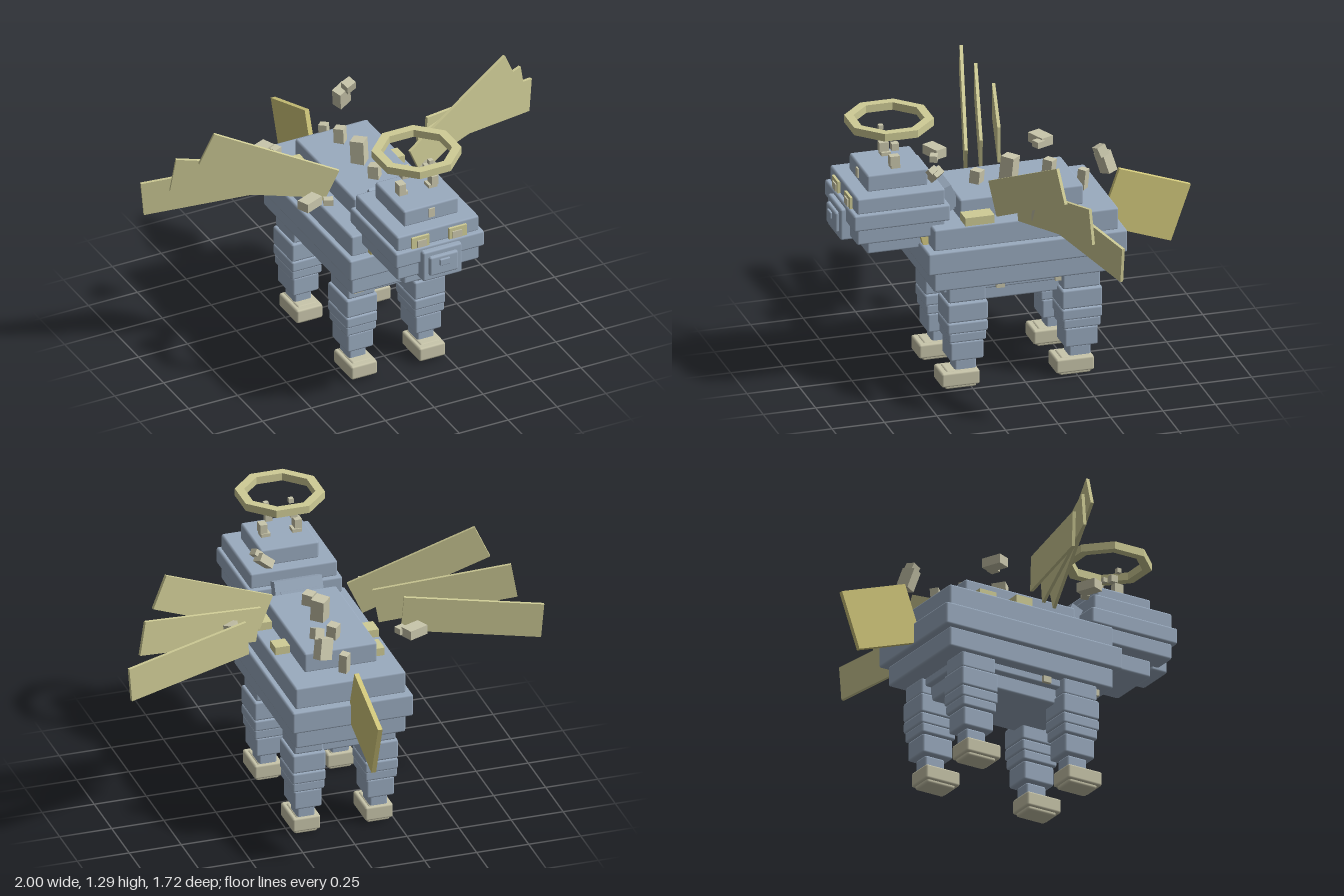
import * as THREE from 'three';
import { RoundedBoxGeometry } from 'three/addons/geometries/RoundedBoxGeometry.js';

export function createModel() {
  const model = new THREE.Group();
  const mat = (name, color) => {
    const m = new THREE.MeshStandardMaterial({ color });
    m.name = name;
    return m;
  };
  const blue = mat('slate blue', 0x9aabbf);
  const straw = mat('pale straw', 0xcfcc96);
  const stone = mat('warm stone', 0xc9c6ab);
  const gold = mat('gold', 0xd3c97c);
  const trim = mat('yellow trim', 0xd8cd84);

  const add = (name, geometry, material, pos, rot = [0, 0, 0], order = 'XYZ') => {
    const mesh = new THREE.Mesh(geometry, material);
    mesh.name = name;
    mesh.position.set(...pos);
    mesh.rotation.set(...rot, order);
    model.add(mesh);
    return mesh;
  };
  const box = (name, material, size, pos, rot, order) =>
    add(name, new THREE.BoxGeometry(...size), material, pos, rot, order);
  // Bevelled slab given by half width, y range and z range
  const slab = (name, material, hw, y0, y1, z0, z1, x = 0) => {
    const size = [hw * 2, y1 - y0, z1 - z0];
    const bevel = Math.min(0.01, Math.min(...size) * 0.2);
    add(name, new RoundedBoxGeometry(...size, 1, bevel), material, [x, (y0 + y1) / 2, (z0 + z1) / 2]);
  };
  // Flat-sided octagonal ring lying in the XY plane
  const octagonRing = (outer, inner, depth) => {
    const points = (r) => Array.from({ length: 8 }, (_, i) => {
      const a = (i + 0.5) * Math.PI / 4, c = r / Math.cos(Math.PI / 8);
      return new THREE.Vector2(c * Math.cos(a), c * Math.sin(a));
    });
    const shape = new THREE.Shape(points(outer));
    shape.holes.push(new THREE.Path(points(inner)));
    return new THREE.ExtrudeGeometry(shape, { depth, bevelEnabled: false }).translate(0, 0, -depth / 2);
  };

  // Stepped body
  slab('belly', blue, 0.175, 0.4, 0.51, -0.31, 0.3);
  slab('bellyRim', blue, 0.21, 0.47, 0.51, -0.34, 0.38);
  slab('lowerBody', blue, 0.265, 0.505, 0.605, -0.44, 0.44);
  slab('middleBody', blue, 0.29, 0.6, 0.71, -0.475, 0.475);
  slab('upperBody', blue, 0.265, 0.705, 0.815, -0.44, 0.44);
  slab('backPlate', blue, 0.175, 0.81, 0.91, -0.3, 0.29);

  // Legs and feet
  for (const x of [-0.174, 0.174]) {
    for (const z of [0.275, -0.27]) {
      const tiers = [
        [0.07, 0.09, 0.43, 0.51], [0.08, 0.097, 0.335, 0.43], [0.08, 0.097, 0.28, 0.335],
        [0.077, 0.09, 0.235, 0.285], [0.067, 0.08, 0.14, 0.235], [0.043, 0.052, 0.07, 0.14],
      ];
      for (const [hw, hd, y0, y1] of tiers) slab('legTier', blue, hw, y0, y1, z - hd, z + hd, x);
      slab('foot', stone, 0.067, 0.015, 0.085, z - 0.062, z + 0.12, x);
      slab('footSole', stone, 0.055, 0, 0.075, z - 0.05, z + 0.1, x);
      slab('hoofFront', stone, 0.05, 0.015, 0.09, z - 0.055, z + 0.095, x);
    }
  }

  // Stepped head and snout
  slab('jaw', blue, 0.14, 0.68, 0.765, 0.42, 0.72);
  slab('lowerHead', blue, 0.21, 0.76, 0.84, 0.37, 0.79);
  slab('middleHead', blue, 0.227, 0.835, 0.915, 0.35, 0.81);
  slab('upperHead', blue, 0.21, 0.91, 0.99, 0.37, 0.79);
  slab('crown', blue, 0.14, 0.985, 1.07, 0.43, 0.72);
  slab('snout', blue, 0.1, 0.745, 0.9, 0.75, 0.835);
  slab('muzzle', blue, 0.073, 0.775, 0.875, 0.8, 0.852);
  slab('nose', blue, 0.026, 0.825, 0.858, 0.84, 0.862);
  box('foreheadMark', stone, [0.03, 0.045, 0.014], [0, 1.03, 0.72]);

  // Stepped neck at the back of the head
  box('neckStep', blue, [0.23, 0.11, 0.06], [0, 0.9, 0.32], [0.4, 0, 0]);
  box('neckStep', blue, [0.18, 0.08, 0.06], [0, 0.87, 0.3], [0.4, 0, 0]);

  // Eyes, crown beads and chest collar
  for (const s of [-1, 1]) {
    box('eye', straw, [0.09, 0.06, 0.02], [s * 0.095, 0.94, 0.792]);
    box('eyeCentre', stone, [0.048, 0.036, 0.02], [s * 0.09, 0.935, 0.798]);
    box('hornBase', stone, [0.045, 0.02, 0.045], [s * 0.075, 1.077, 0.57]);
    box('hornBead', stone, [0.035, 0.045, 0.045], [s * 0.083, 1.108, 0.575]);
    box('hornBead', stone, [0.032, 0.034, 0.034], [s * 0.06, 1.165, 0.565]);
    box('hornBead', stone, [0.022, 0.022, 0.022], [s * 0.06, 1.215, 0.595]);
  }
  add('collar', octagonRing(0.18, 0.148, 0.035), trim, [0, 0.757, 0.46], [0.27, 0, 0]);

  // Halo above the head
  add('halo', octagonRing(0.19, 0.15, 0.037), straw, [0, 1.27, 0.573], [Math.PI / 2, 0, 0]);

  // Wings: three fanned feathers on each side, swept backwards
  const deg = Math.PI / 180;
  const feathers = [[0.495, 1.05, 0.065, 25], [0.588, 0.964, -0.035, 10], [0.682, 0.883, -0.15, -5]];
  for (const s of [-1, 1]) {
    for (const [x, y, z, tilt] of feathers) {
      box('wingFeather', straw, [0.642, 0.168, 0.015], [s * x, y, z],
        [0, s * 15 * deg, s * tilt * deg], 'YXZ');
    }
  }

  // Square tail fan
  box('tail', gold, [0.022, 0.283, 0.36], [0, 0.698, -0.645], [-0.34, 0, 0]);

  // Back spikes: [z, width, top]
  for (const [z, w, top] of [[-0.35, 0.04, 0.91], [-0.185, 0.048, 0.98], [0.005, 0.065, 1.02], [0.16, 0.05, 0.97]]) {
    box('backSpike', stone, [w, top - 0.8, w], [0, (top + 0.8) / 2, z], [-0.1, Math.PI / 4, 0]);
  }

  // Trim blocks on the shoulders: [x, z, width, depth]
  for (const [x, z, w, d] of [[0.22, 0.22, 0.08, 0.14], [0.212, -0.062, 0.07, 0.075],
    [-0.22, -0.035, 0.075, 0.085], [-0.2, -0.21, 0.05, 0.09]]) {
    box('shoulderBlock', straw, [w, 0.05, d], [x, 0.828, z]);
  }
  // Small patches under the body
  for (const [x, z] of [[0.2, 0.11], [-0.2, 0.11], [0.2, -0.17], [-0.2, 0.37]]) {
    box('bellyPatch', stone, [0.05, 0.03, 0.04], [x, 0.487, z]);
  }

  // Floating chips around the body: [size, position, rotation]
  const chips = [
    [[0.1, 0.045, 0.06], [-0.375, 0.922, 0.24], [0, 0.4, 0]],
    [[0.045, 0.03, 0.035], [-0.295, 0.922, 0.268], [0, -0.4, 0]],
    [[0.1, 0.045, 0.065], [-0.365, 0.922, -0.262], [0, 0.4, 0]],
    [[0.045, 0.03, 0.04], [-0.31, 0.922, -0.235], [0, 0.4, 0]],
    [[0.08, 0.04, 0.05], [0.135, 1.035, 0.395], [0.4, 0.4, 0.6]],
    [[0.04, 0.03, 0.04], [0.165, 1.065, 0.42], [0.4, 0.4, 0.6]],
    [[0.07, 0.1, 0.05], [0.125, 0.99, -0.42], [0.2, 0.4, 0.2]],
    [[0.05, 0.05, 0.045], [0.145, 1.055, -0.39], [0.3, 0.3, 0.2]],
    [[0.05, 0.1, 0.05], [0.425, 0.92, -0.012], [0.2, 0.7, -0.3]],
  ];
  for (const [size, pos, rot] of chips) box('floatingChip', stone, size, pos, rot);

  return model;
}
